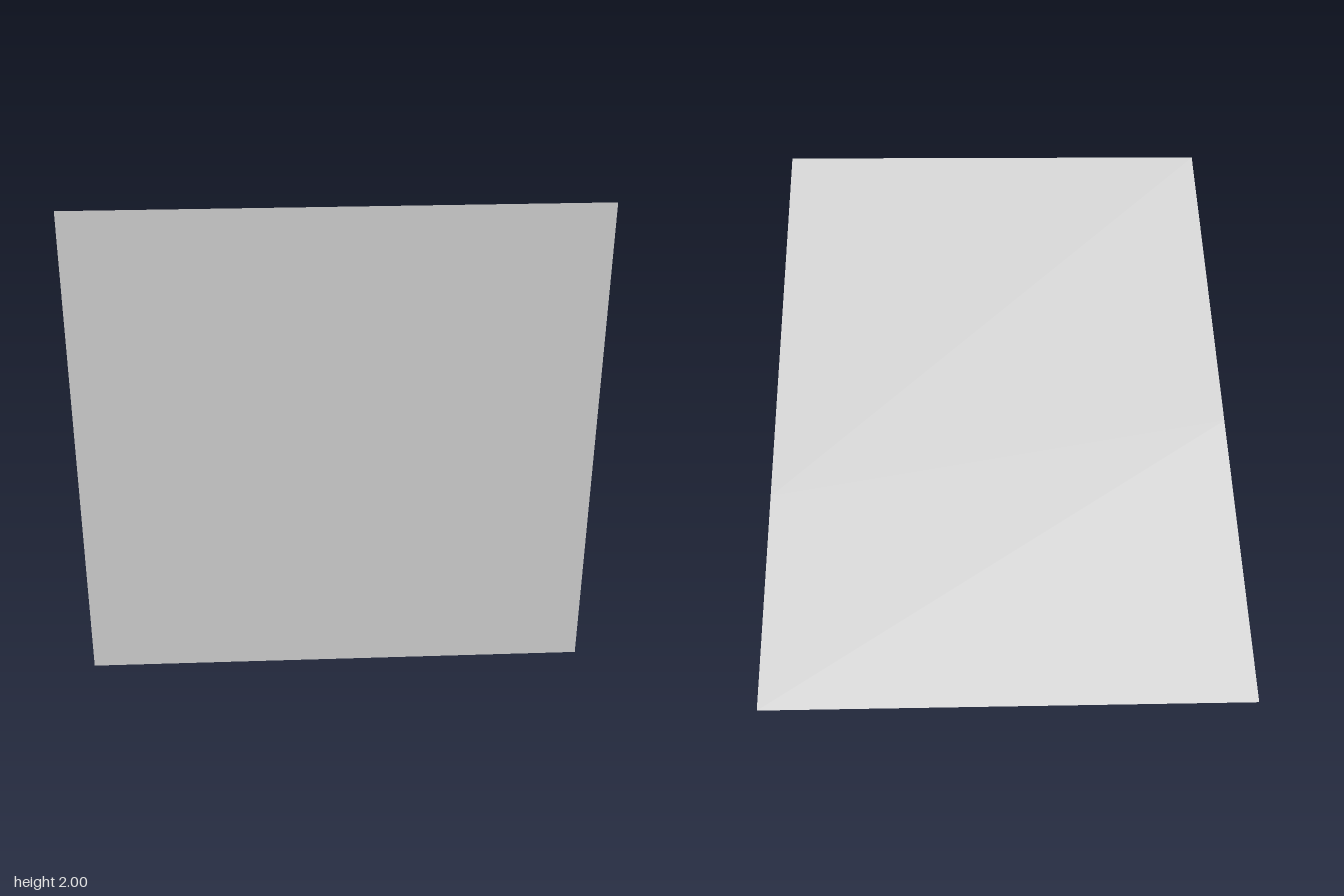
import * as THREE from 'three';

// Solid between a right (x = 1) and a left (x = -1) outline of [z, y] corners
function loft(outline) {
  const right = outline.map(([r]) => new THREE.Vector3(1, r[1], r[0]));
  const left = outline.map(([, l]) => new THREE.Vector3(-1, l[1], l[0]));
  const n = outline.length;
  const points = [];
  for (let i = 0; i < n; i++) {
    const j = (i + 1) % n;
    points.push(right[i], left[i], left[j], right[i], left[j], right[j]);
  }
  // End caps
  for (let i = 1; i < n - 1; i++) {
    points.push(right[0], right[i], right[i + 1]);
    points.push(left[0], left[i + 1], left[i]);
  }
  const geometry = new THREE.BufferGeometry().setFromPoints(points);
  geometry.computeVertexNormals();
  return geometry;
}

export function createModel() {
  const group = new THREE.Group();
  group.name = 'splitWedge';
  const material = new THREE.MeshStandardMaterial({ color: 0xcccccc, flatShading: true });

  // Wedge corners and seam ends, each as [right corner, left corner]
  const same = (z, y) => [[z, y], [z, y]];
  const frontBottom = same(1, 0);
  const frontTop = same(1, 2);
  const backBottom = same(-1, 0);
  const frontSeam = same(1, 1.57);
  const slopeSeam = [[-0.33, 0.67], [-0.08, 0.92]];
  const bottomSeam = [[0.38, 0], [0.71, 0]];
  const junction = [[0.2, 0.36], [0.4, 0.66]];

  // Three fitted pieces that meet along the junction line
  const pieces = {
    frontPiece: [frontBottom, bottomSeam, junction, frontSeam],
    topPiece: [frontSeam, junction, slopeSeam, frontTop],
    backPiece: [bottomSeam, backBottom, slopeSeam, junction],
  };
  for (const [name, outline] of Object.entries(pieces)) {
    const mesh = new THREE.Mesh(loft(outline), material);
    mesh.name = name;
    group.add(mesh);
  }
  return group;
}
